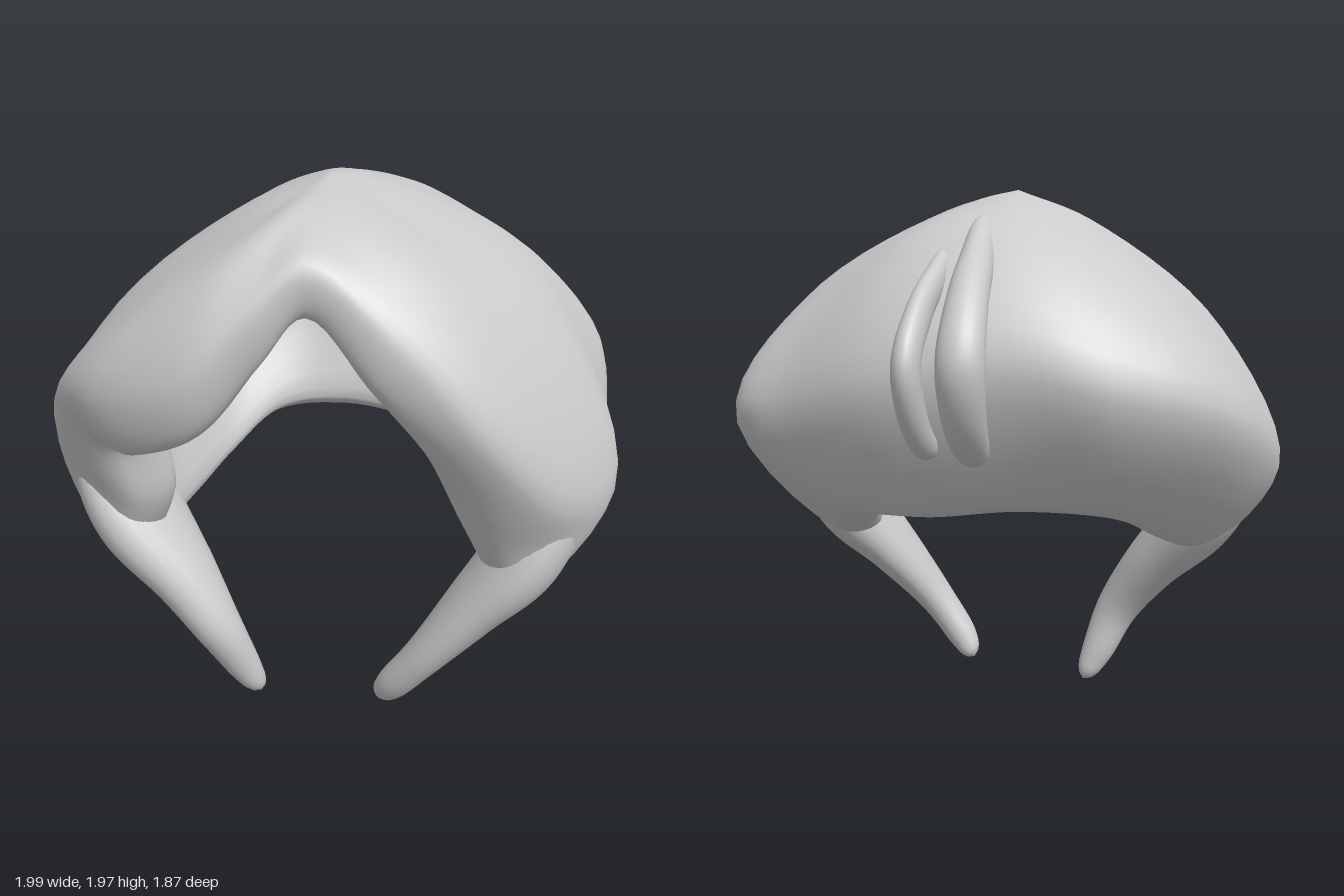
import * as THREE from 'three';
import { mergeVertices } from 'three/addons/utils/BufferGeometryUtils.js';

const V = (x, y, z) => new THREE.Vector3(x, y, z);
const material = new THREE.MeshStandardMaterial({ color: 0xcccccc, side: THREE.DoubleSide });

// Smooth skin over rows of points; each row is a closed loop
function skin(name, rows) {
  const n = rows[0].length, index = [];
  for (let i = 0; i < rows.length - 1; i++) {
    for (let j = 0; j < n; j++) {
      const a = i * n + j, b = i * n + (j + 1) % n;
      index.push(a, a + n, b, b, a + n, b + n);
    }
  }
  let geometry = new THREE.BufferGeometry().setFromPoints(rows.flat());
  geometry.setIndex(index);
  geometry = mergeVertices(geometry, 1e-5);
  geometry.computeVertexNormals();
  const mesh = new THREE.Mesh(geometry, material);
  mesh.name = name;
  return mesh;
}

// Tapered strand: stations are [x, y, z, half thickness, half width along the flat axis]
function strand(name, stations, flat, steps = 40, sides = 24) {
  const path = new THREE.CatmullRomCurve3(stations.map(s => V(s[0], s[1], s[2])));
  const size = new THREE.CatmullRomCurve3(stations.map(s => V(s[3], s[4], 0)), false, 'catmullrom');
  const rows = [];
  for (let i = 0; i <= steps; i++) {
    const t = i / steps, c = path.getPoint(t), r = size.getPoint(t);
    const end = Math.max(0, (Math.abs(t - 0.5) - 0.42) / 0.08);
    const cap = Math.sqrt(Math.max(0, 1 - end * end));
    const n = path.getTangent(t).cross(flat).normalize();
    rows.push(Array.from({ length: sides }, (_, j) => {
      const a = j / sides * Math.PI * 2;
      return c.clone().addScaledVector(n, Math.cos(a) * r.x * cap)
        .addScaledVector(flat, Math.sin(a) * r.y * cap);
    }));
  }
  return skin(name, rows);
}

// Loops around the hair, from the front centre towards +x, the back and -x
const upper = [
  [0.03, 1.92, 0.6], [0.22, 1.86, 0.63], [0.42, 1.75, 0.6], [0.6, 1.63, 0.45], [0.7, 1.59, 0.22],
  [0.72, 1.58, 0], [0.67, 1.6, -0.24], [0.48, 1.67, -0.38], [0.25, 1.76, -0.45], [-0.06, 1.8, -0.45],
  [-0.36, 1.68, -0.47], [-0.6, 1.55, -0.39], [-0.7, 1.51, 0], [-0.74, 1.5, 0.25], [-0.69, 1.53, 0.47],
  [-0.59, 1.59, 0.61], [-0.43, 1.68, 0.74], [-0.22, 1.79, 0.79], [-0.08, 1.88, 0.71]];
const middle = [
  [0.05, 1.82, 0.79], [0.32, 1.62, 0.81], [0.6, 1.3, 0.75], [0.85, 1, 0.52], [0.99, 0.97, 0.23],
  [0.95, 1, 0], [0.9, 1.19, -0.41], [0.7, 1.2, -0.53], [0.35, 1.3, -0.7], [-0.1, 1.37, -0.75],
  [-0.42, 1.3, -0.73], [-0.78, 1.2, -0.53], [-0.95, 1.05, -0.1], [-1, 0.96, 0.28], [-0.94, 1.08, 0.45],
  [-0.83, 1.28, 0.62], [-0.62, 1.4, 0.83], [-0.3, 1.48, 0.935], [-0.1, 1.68, 0.87]];
const rim = [
  [0.05, 1.67, 0.77], [0.25, 1.47, 0.79], [0.47, 1.17, 0.69], [0.62, 0.85, 0.55], [0.72, 0.64, 0.43],
  [0.68, 0.66, 0.1], [0.58, 0.75, -0.18], [0.45, 0.84, -0.41], [0.2, 0.85, -0.47], [-0.1, 0.88, -0.48],
  [-0.42, 0.85, -0.41], [-0.61, 0.73, -0.17], [-0.71, 0.65, 0.1], [-0.76, 0.64, 0.43], [-0.65, 0.85, 0.53],
  [-0.67, 1.12, 0.62], [-0.5, 1.2, 0.82], [-0.27, 1.31, 0.88], [-0.08, 1.53, 0.82]];

// Thick cap: outer skin from the crown to the rim, then back up inside
function hairCap(around = 114, along = 56) {
  const crown = V(0, 1.975, 0.2);
  const inward = p => V(p.x * 0.68, 1.1 + (p.y - 1.1) * 0.78, p.z * 0.77);
  const loop = points => {
    const curve = new THREE.CatmullRomCurve3(points.map(p => V(...p)), true);
    return Array.from({ length: around }, (_, j) => curve.getPoint(j / around));
  };
  const [A, B, C] = [upper, middle, rim].map(loop);
  const columns = A.map((a, j) => {
    const b = B[j], c = C[j];
    const shoulder = crown.clone().lerp(a, 0.38);
    shoulder.y = crown.y + (a.y - crown.y) * 0.24;
    const fold = V(c.x * 0.79, c.y + 0.05, c.z * 0.84);
    return new THREE.CatmullRomCurve3([crown, shoulder, a, b, c, fold,
      inward(b).lerp(inward(a), 0.2), inward(a), inward(shoulder), inward(crown)]);
  });
  return skin('hairCap', Array.from({ length: along + 1 }, (_, i) => columns.map(c => c.getPoint(i / along))));
}

export function createModel() {
  const group = new THREE.Group();
  group.name = 'hairpiece';
  const zAxis = V(0, 0, 1), xAxis = V(1, 0, 0);
  group.add(
    hairCap(),
    // Pointed locks growing out of the cap at the sides of the face
    strand('leftSideLock', [
      [0.84, 1.13, 0.24, 0.04, 0.1], [0.8, 0.93, 0.28, 0.11, 0.2], [0.71, 0.73, 0.32, 0.13, 0.225],
      [0.55, 0.53, 0.38, 0.1, 0.16], [0.38, 0.31, 0.425, 0.07, 0.09], [0.27, 0.16, 0.41, 0.06, 0.06],
      [0.21, 0.07, 0.38, 0.035, 0.035]], zAxis),
    strand('rightSideLock', [
      [-0.86, 1.13, 0.24, 0.04, 0.1], [-0.82, 0.92, 0.28, 0.12, 0.2], [-0.71, 0.72, 0.32, 0.14, 0.225],
      [-0.52, 0.5, 0.38, 0.11, 0.15], [-0.385, 0.3, 0.415, 0.085, 0.09], [-0.31, 0.13, 0.385, 0.065, 0.06],
      [-0.25, 0.005, 0.36, 0.035, 0.035]], zAxis),
    // Looping strands at the back
    strand('wideBackStrand', [
      [0.04, 1.86, -0.32, 0.02, 0.03], [0.025, 1.7, -0.55, 0.065, 0.055], [0.02, 1.58, -0.74, 0.065, 0.065],
      [0.02, 1.4, -0.865, 0.065, 0.075], [0.02, 1.24, -0.82, 0.06, 0.07], [0.02, 1.13, -0.71, 0.055, 0.06],
      [0.02, 1.08, -0.58, 0.04, 0.04]], xAxis),
    strand('narrowBackStrand', [
      [0.14, 1.75, -0.42, 0.02, 0.02], [0.15, 1.65, -0.58, 0.05, 0.035], [0.17, 1.54, -0.74, 0.06, 0.04],
      [0.185, 1.39, -0.855, 0.06, 0.045], [0.18, 1.24, -0.81, 0.055, 0.045], [0.17, 1.14, -0.71, 0.05, 0.04],
      [0.16, 1.1, -0.58, 0.03, 0.03]], xAxis));
  return group;
}
